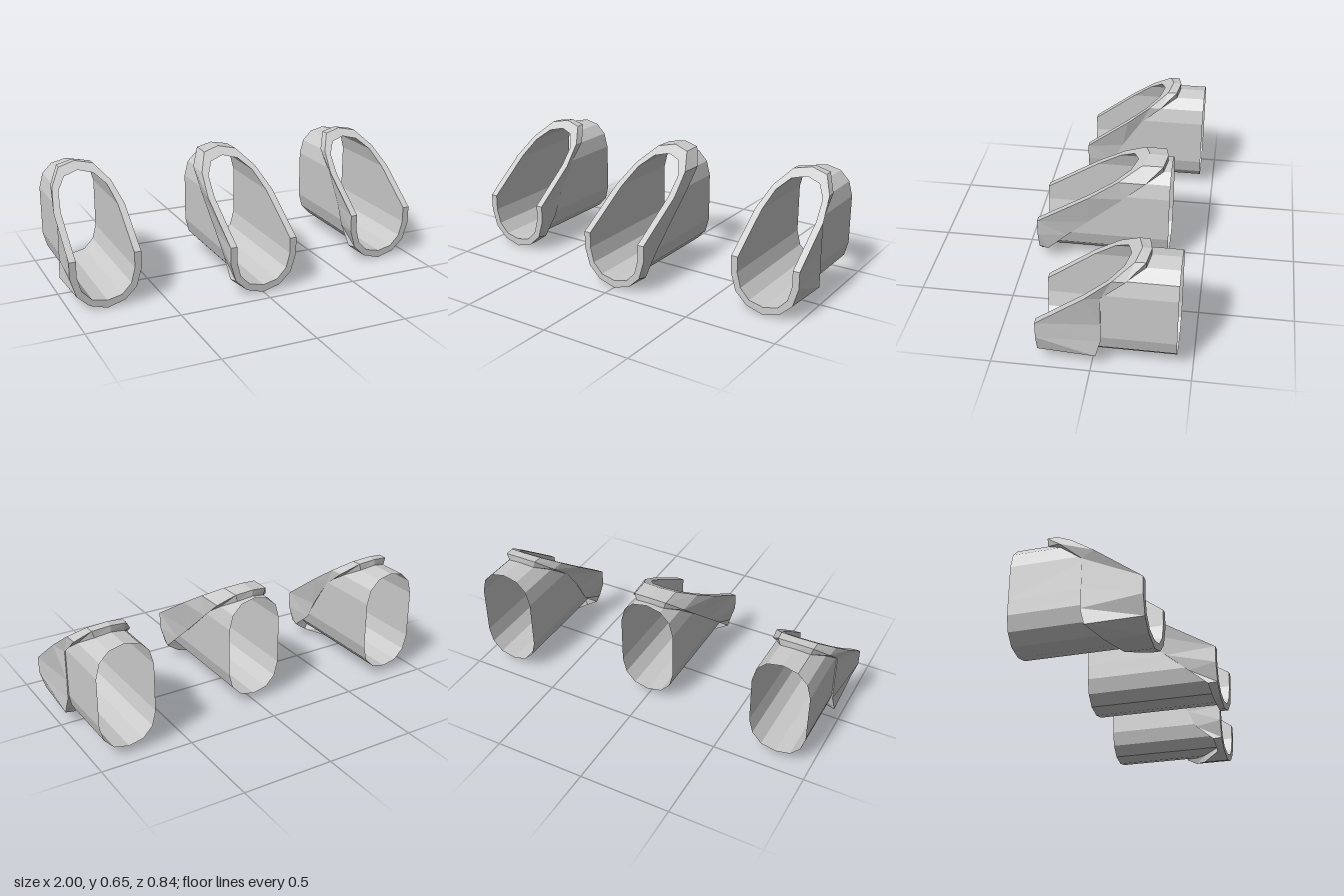
import * as THREE from 'three';

// Half profiles [x, y], from top centre down to bottom centre
const OUTER = [[0, .648], [.095, .63], [.16, .555], [.19, .46], [.19, .28], [.19, .19], [.16, .09], [.095, .028], [0, 0]];
const INNER = [[0, .61], [.08, .592], [.132, .54], [.153, .46], [.153, .28], [.153, .195], [.132, .115], [.08, .06], [0, .042]];
const BACK = [[0, .645], [.092, .63], [.152, .55], [.158, .445], [.158, .28], [.16, .175], [.17, .083], [.095, .028], [0, 0]];

// Depth of the collar's rear edge at each profile point
const REAR_FULL = [-.275, -.258, -.17, -.05, -.05, -.05, -.025, .05, .12];
const REAR_SHORT = [-.275, -.258, -.17, -.05, .06, .11, .215, .225, .12];
const REAR_MIDDLE = [-.275, -.258, -.17, -.05, .142, .265, .37, .38, .39];

const material = new THREE.MeshStandardMaterial({ color: 0xcccccc, flatShading: true, side: THREE.DoubleSide });

// Closed loop: down the +x half, up the -x half; depth(y, index, side) gives z
function loop(half, depth) {
  const pts = half.map(([x, y], i) => [x, y, depth(y, i, 1)]);
  for (let i = half.length - 2; i > 0; i--) {
    const [x, y] = half[i];
    pts.push([-x, y, depth(y, i, -1)]);
  }
  return pts;
}

// Flat-sided skin through successive loops
function skin(name, loops) {
  const pos = [];
  for (let k = 0; k + 1 < loops.length; k++) {
    const a = loops[k], b = loops[k + 1], n = a.length;
    for (let i = 0; i < n; i++) {
      const j = (i + 1) % n;
      pos.push(...a[i], ...b[j], ...b[i], ...a[i], ...a[j], ...b[j]);
    }
  }
  const geo = new THREE.BufferGeometry();
  geo.setAttribute('position', new THREE.Float32BufferAttribute(pos, 3));
  geo.computeVertexNormals();
  const mesh = new THREE.Mesh(geo, material);
  mesh.name = name;
  return mesh;
}

// One open pipe with a slanted collar around its mouth
function pipe(name, x, mouthZ, topZ, endZ, rearPlus, rearMinus) {
  const slope = (mouthZ - topZ) / (.648 - .28);
  const front = (y) => mouthZ - Math.max(0, y - .28) * slope;
  const rear = (y, i, side) => (side > 0 ? rearPlus : rearMinus)[i];
  const group = new THREE.Group();
  group.name = name;
  group.position.x = x;
  group.add(
    skin('collar', [loop(INNER, front), loop(OUTER, front), loop(BACK, rear), loop(INNER, rear)]),
    skin('tube', [loop(INNER, () => endZ), loop(INNER, front)]),
  );
  return group;
}

export function createModel() {
  const model = new THREE.Group();
  model.name = 'pipes';
  model.add(
    pipe('middlePipe', 0, .42, -.175, -.3, REAR_MIDDLE, REAR_MIDDLE),
    pipe('leftPipe', .81, .265, -.23, -.42, REAR_FULL, REAR_SHORT),
    pipe('rightPipe', -.81, .265, -.23, -.42, REAR_SHORT, REAR_FULL),
  );
  return model;
}
